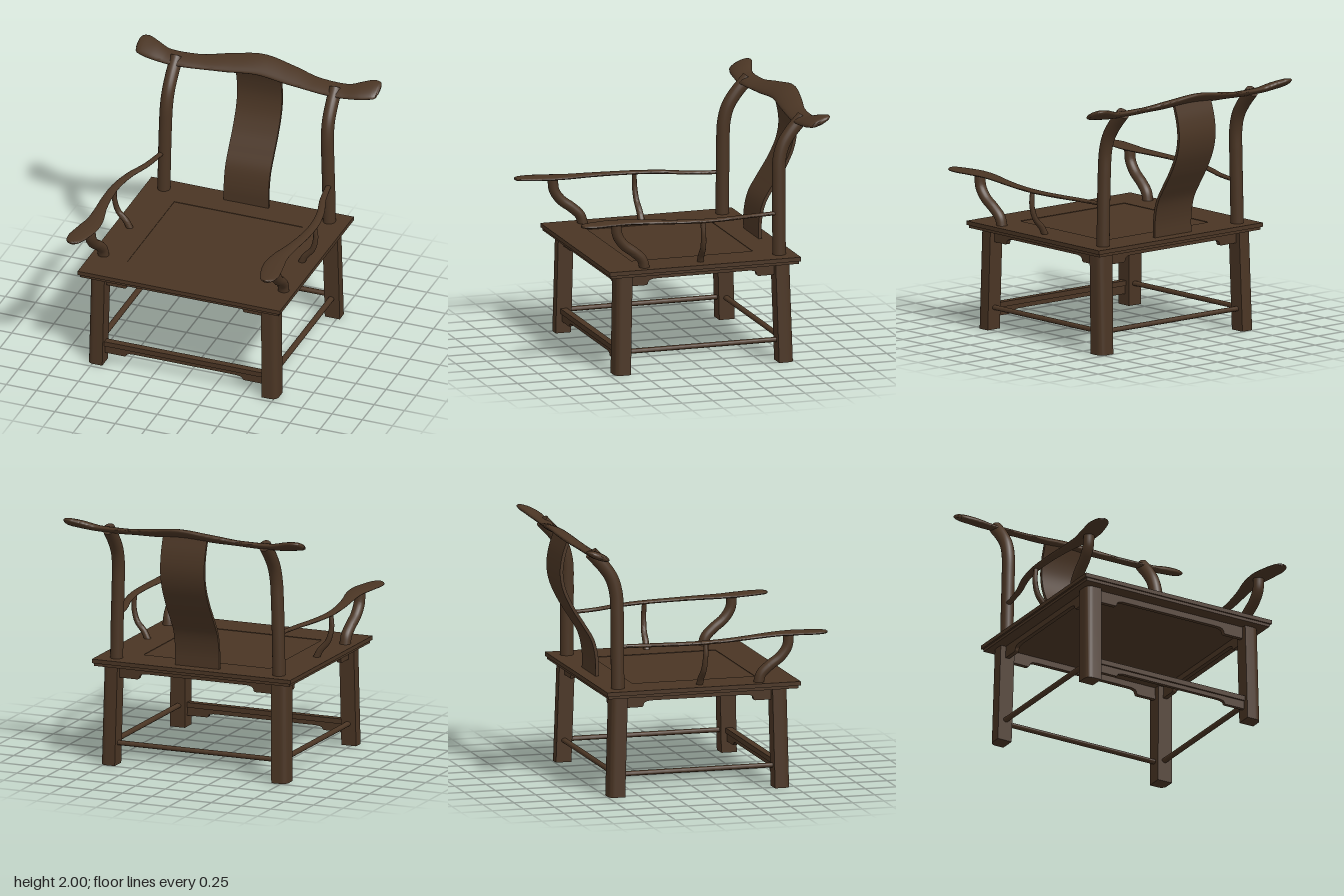
import * as THREE from 'three';
import { toCreasedNormals } from 'three/addons/utils/BufferGeometryUtils.js';

const wood = new THREE.MeshStandardMaterial({ color: 0x4a3524 });
wood.name = 'darkWood';

function add(parent, name, geometry) {
  const mesh = new THREE.Mesh(geometry, wood);
  mesh.name = name;
  parent.add(mesh);
  return mesh;
}

// Smooth elliptical sweep. Stations: [x, y, z, radiusAlongSide, radiusAcross, tilt]
function sweep(stations, side, steps = 48, sides = 20) {
  const path = new THREE.CatmullRomCurve3(stations.map(s => new THREE.Vector3(s[0], s[1], s[2])));
  const size = new THREE.CatmullRomCurve3(stations.map(s => new THREE.Vector3(s[3], s[4], s[5] || 0)));
  const pos = [], idx = [];
  for (let i = 0; i <= steps; i++) {
    const t = i / steps, c = path.getPoint(t), r = size.getPoint(t), T = path.getTangent(t);
    const v = T.clone().cross(side).normalize(), u = v.clone().cross(T);
    const u2 = u.clone().multiplyScalar(Math.cos(r.z)).addScaledVector(v, Math.sin(r.z));
    const v2 = v.clone().multiplyScalar(Math.cos(r.z)).addScaledVector(u, -Math.sin(r.z));
    for (let j = 0; j < sides; j++) {
      const a = j / sides * Math.PI * 2;
      const p = c.clone().addScaledVector(u2, Math.cos(a) * r.x).addScaledVector(v2, Math.sin(a) * r.y);
      pos.push(p.x, p.y, p.z);
    }
  }
  const last = steps * sides, c0 = pos.length / 3, c1 = c0 + 1;
  pos.push(...path.getPoint(0).toArray(), ...path.getPoint(1).toArray());
  for (let j = 0; j < sides; j++) {
    const k = (j + 1) % sides;
    for (let i = 0; i < steps; i++) {
      const a = i * sides, b = a + sides;
      idx.push(a + j, a + k, b + j, a + k, b + k, b + j);
    }
    idx.push(c0, k, j, c1, last + j, last + k);
  }
  const g = new THREE.BufferGeometry();
  g.setAttribute('position', new THREE.Float32BufferAttribute(pos, 3));
  g.setIndex(idx);
  return toCreasedNormals(g, 0.9);
}

// Leg with a rounded outer corner, splaying outward toward the floor
function legGeometry(sx, sz, zTop, zBottom) {
  const h = 0.79, w = 0.062, r = 0.055;
  const s = new THREE.Shape();
  const X = x => x * sx, Y = y => -y * sz;
  s.moveTo(X(-w), Y(-w));
  s.lineTo(X(w), Y(-w));
  s.lineTo(X(w), Y(w - r));
  s.quadraticCurveTo(X(w), Y(w), X(w - r), Y(w));
  s.lineTo(X(-w), Y(w));
  s.closePath();
  const g = new THREE.ExtrudeGeometry(s, { depth: h, bevelEnabled: false, curveSegments: 8 });
  g.rotateX(-Math.PI / 2);
  const p = g.attributes.position;
  for (let i = 0; i < p.count; i++) {
    const k = 1 - p.getY(i) / h;
    p.setX(i, p.getX(i) + sx * (0.71 + 0.012 * k));
    p.setZ(i, p.getZ(i) + zTop + (zBottom - zTop) * k);
  }
  return toCreasedNormals(g, 0.6);
}

// Apron board with stepped brackets at both ends
function apronGeometry(half, top, mid, low, bracket, depth) {
  const s = new THREE.Shape();
  const a = half - bracket, b = a - 0.07;
  s.moveTo(-half, top);
  s.lineTo(-half, low);
  s.lineTo(-a - 0.02, low);
  s.quadraticCurveTo(-a, low, -a, low + (mid - low) * 0.5);
  s.quadraticCurveTo(-a + 0.01, mid, -b, mid);
  s.lineTo(b, mid);
  s.quadraticCurveTo(a - 0.01, mid, a, low + (mid - low) * 0.5);
  s.quadraticCurveTo(a, low, a + 0.02, low);
  s.lineTo(half, low);
  s.lineTo(half, top);
  s.closePath();
  const g = new THREE.ExtrudeGeometry(s, { depth, bevelEnabled: false, curveSegments: 6 });
  g.translate(0, 0, -depth / 2);
  return toCreasedNormals(g, 0.6);
}

function rectangle(Type, x0, x1, y0, y1) {
  return new Type([[x0, y0], [x1, y0], [x1, y1], [x0, y1]].map(p => new THREE.Vector2(...p)));
}

export function createModel() {
  const model = new THREE.Group();
  model.name = 'armchair';
  const body = new THREE.Group();
  body.name = 'body';
  body.position.x = -0.008;
  model.add(body);
  const X = new THREE.Vector3(1, 0, 0), Y = new THREE.Vector3(0, 1, 0);

  // Seat: frame, slightly sunken panel, lower moulding
  const frame = rectangle(THREE.Shape, -0.837, 0.837, -0.778, 0.778);
  frame.holes.push(rectangle(THREE.Path, -0.535, 0.53, -0.5, 0.487));
  const frameGeo = new THREE.ExtrudeGeometry(frame, { depth: 0.032, bevelEnabled: false });
  frameGeo.rotateX(-Math.PI / 2);
  add(body, 'seatFrame', frameGeo).position.y = 0.808;
  add(body, 'seatPanel', new THREE.BoxGeometry(1.08, 0.03, 1.0)).position.set(0, 0.821, 0.005);
  add(body, 'seatMoulding', new THREE.BoxGeometry(1.645, 0.026, 1.53)).position.y = 0.798;

  for (const s of [1, -1]) {
    const side = s > 0 ? 'left' : 'right';
    add(body, side + 'FrontLeg', legGeometry(s, 1, 0.632, 0.65));
    add(body, side + 'BackLeg', legGeometry(s, -1, -0.655, -0.68));

    // Back post bending rearward at the top
    add(body, side + 'BackPost', sweep([
      [0.685, 0.8, -0.65], [0.68, 1.1, -0.65], [0.672, 1.4, -0.65], [0.666, 1.58, -0.657],
      [0.662, 1.7, -0.69], [0.66, 1.8, -0.755], [0.658, 1.91, -0.855],
    ].map(p => [p[0] * s, p[1], p[2], 0.05, 0.052]), X));

    // Curved armrest with a broad flat hand grip
    add(body, side + 'Armrest', sweep([
      [0.685, 1.167, -0.65, 0.02, 0.015], [0.73, 1.172, -0.4, 0.025, 0.015],
      [0.79, 1.18, -0.2, 0.03, 0.015], [0.82, 1.186, 0, 0.034, 0.015],
      [0.816, 1.193, 0.2, 0.038, 0.015], [0.793, 1.202, 0.4, 0.045, 0.016],
      [0.765, 1.21, 0.6, 0.066, 0.016], [0.772, 1.214, 0.75, 0.082, 0.016],
      [0.795, 1.215, 0.88, 0.078, 0.016], [0.803, 1.215, 0.96, 0.058, 0.015],
      [0.804, 1.215, 0.99, 0.033, 0.012], [0.804, 1.215, 1.0, 0.005, 0.005],
    ].map(p => [p[0] * s, ...p.slice(1)]), X, 72));

    // S-shaped front arm support
    add(body, side + 'FrontArmSupport', sweep([
      [0.765, 1.205, 0.702], [0.765, 1.11, 0.69], [0.762, 1.03, 0.635],
      [0.755, 0.965, 0.55], [0.748, 0.9, 0.485], [0.745, 0.82, 0.462],
    ].map(p => [p[0] * s, p[1], p[2], 0.044, 0.04]), X));

    // Slender middle arm support
    add(body, side + 'MiddleArmSupport', sweep([
      [0.825, 1.185, 0.018, 0.018, 0.018], [0.833, 1.08, 0.014, 0.02, 0.02],
      [0.805, 0.97, 0.008, 0.022, 0.022], [0.74, 0.89, 0.003, 0.025, 0.025],
      [0.705, 0.82, 0, 0.027, 0.027],
    ].map(p => [p[0] * s, ...p.slice(1)]), new THREE.Vector3(0, 0, 1), 32));

    // Side apron and stretcher
    const apron = add(body, side + 'Apron', apronGeometry(0.61, 0.79, 0.738, 0.69, 0.17, 0.035));
    apron.rotation.y = Math.PI / 2;
    apron.position.set(0.71 * s, 0, -0.012);
    add(body, side + 'Stretcher', sweep([
      [0.715 * s, 0.172, -0.66, 0.024, 0.019], [0.715 * s, 0.172, 0.64, 0.024, 0.019]], X, 1));
  }

  // Front and back aprons and stretchers
  for (const [name, z] of [['front', 0.635], ['back', -0.66]]) {
    add(body, name + 'Apron', apronGeometry(0.68, 0.79, 0.738, 0.69, 0.2, 0.035)).position.z = z;
  }
  add(body, 'footRail', new THREE.BoxGeometry(1.36, 0.04, 0.055)).position.set(0, 0.175, 0.648);
  add(body, 'footRailApron', apronGeometry(0.68, 0.16, 0.122, 0.09, 0.2, 0.03)).position.z = 0.646;
  add(body, 'backStretcher', sweep([
    [-0.7, 0.172, -0.675, 0.019, 0.024], [0.7, 0.172, -0.675, 0.019, 0.024]], Y, 1));

  // Curved back splat
  const line = new THREE.CatmullRomCurve3([
    [-0.668, 0.81], [-0.668, 0.97], [-0.7, 1.12], [-0.775, 1.25], [-0.86, 1.385],
    [-0.928, 1.53], [-0.952, 1.66], [-0.937, 1.79], [-0.893, 1.93],
  ].map(p => new THREE.Vector3(0, p[1], p[0])));
  const splat = new THREE.BoxGeometry(0.37, 1, 0.025, 1, 40, 1);
  const sp = splat.attributes.position;
  for (let i = 0; i < sp.count; i++) {
    const t = sp.getY(i) + 0.5, c = line.getPoint(t), d = line.getTangent(t), k = sp.getZ(i);
    sp.setXYZ(i, sp.getX(i), c.y - d.z * k, c.z + d.y * k);
  }
  splat.computeVertexNormals();
  add(model, 'backSplat', splat).position.x = -0.015;

  // Crest rail with upturned rounded ends
  const half = [
    [0.25, 1.925, -0.885, 0.092, 0.027, 0.4], [0.5, 1.903, -0.85, 0.075, 0.022, 0.33],
    [0.74, 1.903, -0.842, 0.075, 0.024, 0.33], [0.87, 1.925, -0.862, 0.09, 0.03, 0.4],
    [0.95, 1.94, -0.885, 0.094, 0.028, 0.42], [0.985, 1.944, -0.89, 0.078, 0.022, 0.42],
    [1.0, 1.945, -0.89, 0.045, 0.01, 0.42],
  ];
  add(model, 'crestRail', sweep([
    ...half.map(p => [-p[0], ...p.slice(1)]).reverse(),
    [0, 1.949, -0.91, 0.1, 0.028, 0.44],
    ...half,
  ], new THREE.Vector3(0, 0, -1), 112, 24));

  return model;
}
